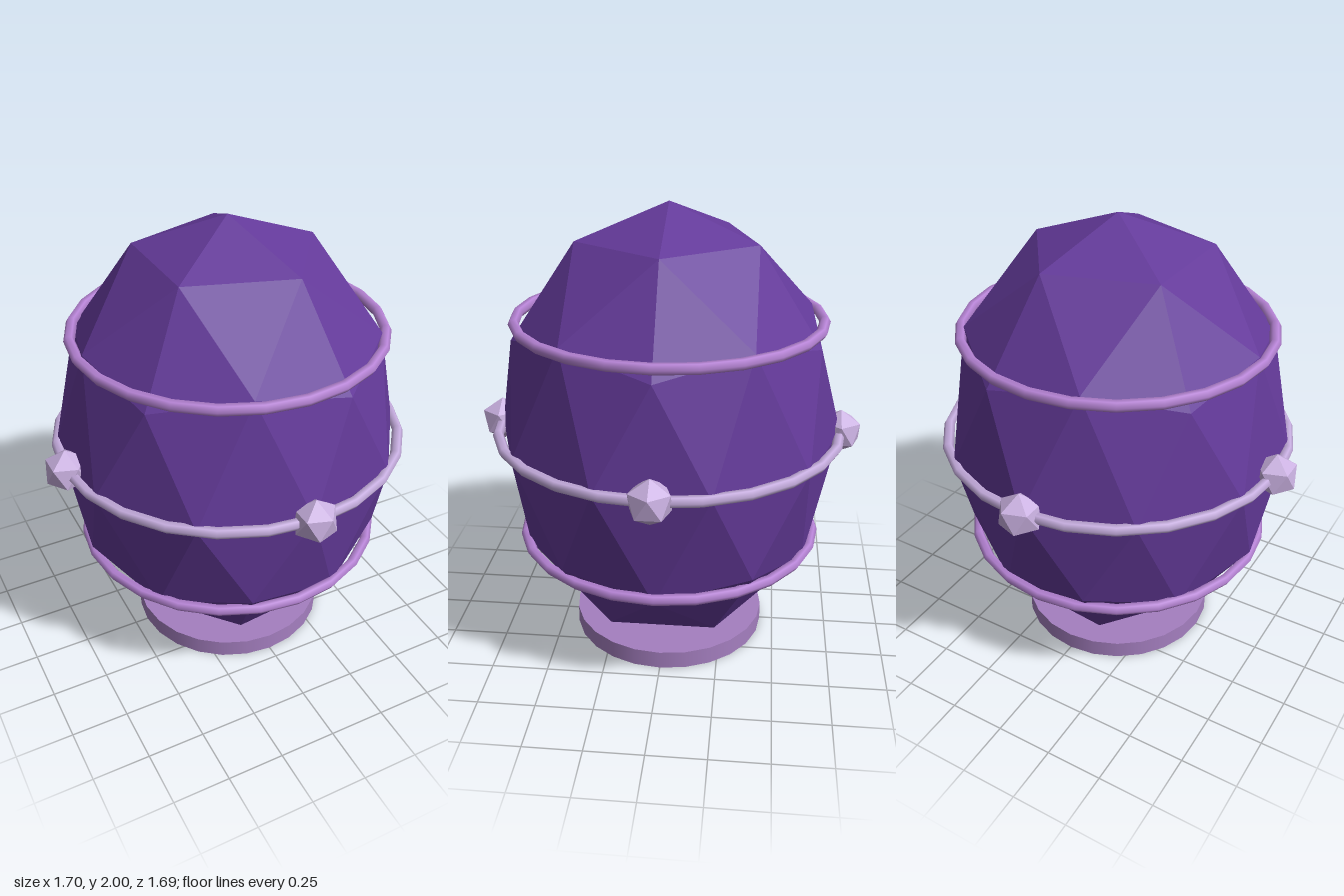
import * as THREE from 'three';

const mat = (name, color, flatShading = false) => {
  const m = new THREE.MeshStandardMaterial({ color, flatShading });
  m.name = name;
  return m;
};

// Icosahedron standing on a vertex, with one upper-ring vertex towards +x
function poleIcosahedron(radius, detail) {
  const pts = [0, 1, 0];
  for (let k = 0; k < 10; k++) {
    const a = k * Math.PI / 5;
    const h = k % 2 ? -1 : 1;
    pts.push(2 * Math.cos(a) / Math.sqrt(5), h / Math.sqrt(5), -2 * Math.sin(a) / Math.sqrt(5));
  }
  pts.push(0, -1, 0);
  const faces = [];
  for (let k = 0; k < 10; k++) {
    const a = 1 + k, b = 1 + (k + 1) % 10, c = 1 + (k + 2) % 10;
    if (k % 2 === 0) faces.push(0, a, c, a, b, c);
    else faces.push(11, c, a, a, c, b);
  }
  const geo = new THREE.PolyhedronGeometry(pts, faces, radius, detail);
  geo.computeVertexNormals();
  return geo;
}

export function createModel() {
  const group = new THREE.Group();
  const shellMat = mat('deep purple', 0x643a9a, true);
  const bandMat = mat('orchid', 0xb784d6);
  const paleMat = mat('pale lilac', 0xc6addf);
  const gemMat = mat('gem lilac', 0xc9b0e0, true);
  const baseMat = mat('dusty mauve', 0xa57fc0);

  const add = (name, geo, material, x, y, z) => {
    const mesh = new THREE.Mesh(geo, material);
    mesh.name = name;
    mesh.position.set(x, y, z);
    group.add(mesh);
  };

  // Faceted egg, stretched upwards
  const egg = poleIcosahedron(1, 1).scale(0.76, 1, 0.76);
  egg.computeVertexNormals();
  add('eggShell', egg, shellMat, 0, 1, 0);

  // Horizontal bands
  const band = (name, y, radius, material) =>
    add(name, new THREE.TorusGeometry(radius, 0.024, 6, 24).rotateX(Math.PI / 2), material, 0, y, 0);
  band('lowerBand', 0.505, 0.664, bandMat);
  band('middleBand', 1.005, 0.76, paleMat);
  band('upperBand', 1.505, 0.664, bandMat);

  // Four gems on the middle band
  const gem = poleIcosahedron(0.098, 0);
  [['leftGem', 1, 0], ['backGem', 0, -1], ['rightGem', -1, 0], ['frontGem', 0, 1]].forEach(
    ([name, x, z]) => add(name, gem, gemMat, x * 0.76, 1.005, z * 0.76));

  // Round foot
  add('base', new THREE.CylinderGeometry(0.44, 0.44, 0.08, 24), baseMat, 0, 0.04, 0);
  return group;
}
